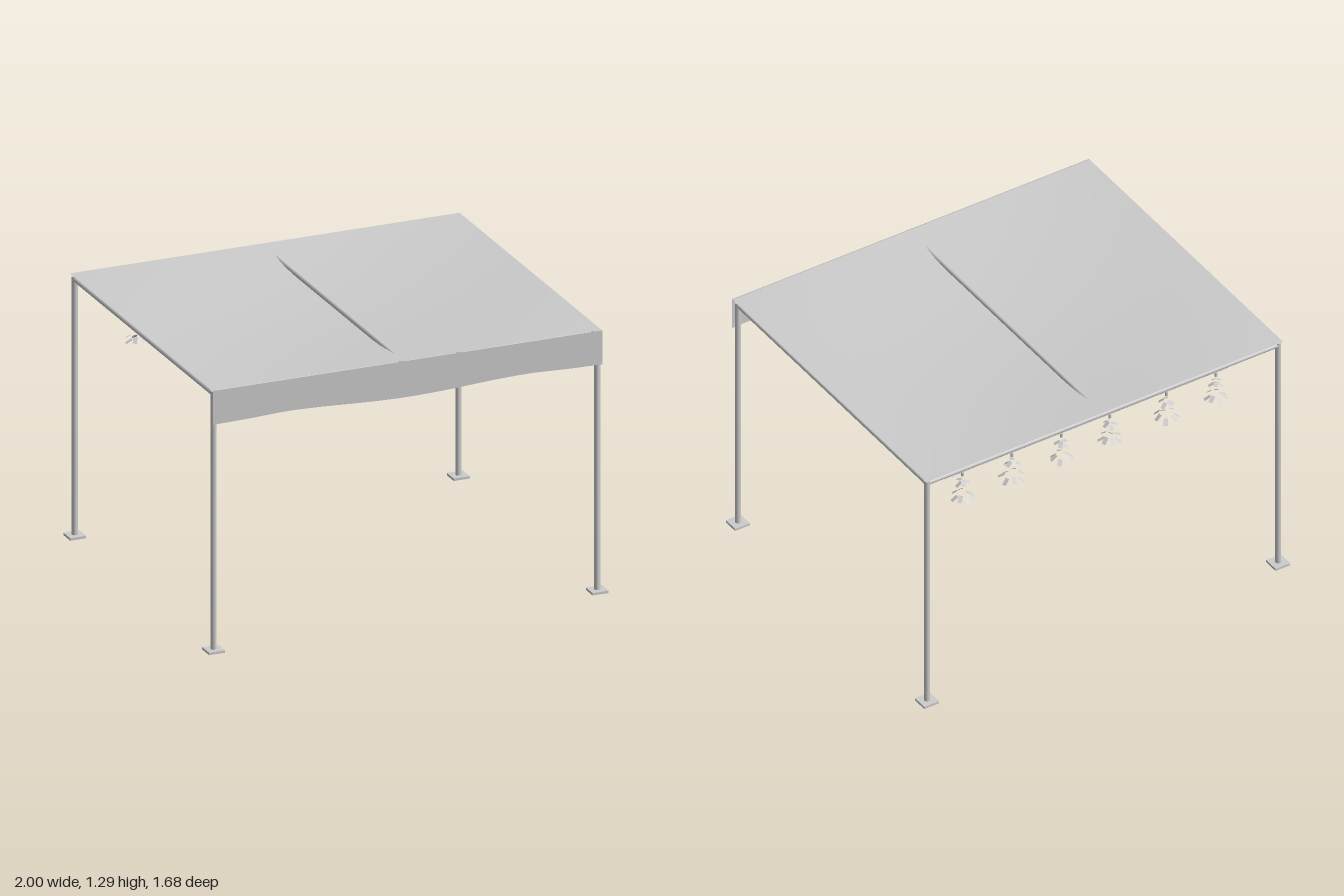
import * as THREE from 'three';

const grey = new THREE.MeshStandardMaterial({ color: 0xcccccc });
const cloth = new THREE.MeshStandardMaterial({ color: 0xcccccc, side: THREE.DoubleSide });

function add(parent, name, geometry, x = 0, y = 0, z = 0, material = grey) {
  const mesh = new THREE.Mesh(geometry, material);
  mesh.name = name;
  mesh.position.set(x, y, z);
  parent.add(mesh);
  return mesh;
}

// Ring of tilted rectangular petals hanging around a lamp
function petalRing(parent, name, count, radius, y, length, width, tilt, turn) {
  for (let i = 0; i < count; i++) {
    const holder = new THREE.Group();
    holder.name = name;
    holder.rotation.y = turn + (i / count) * Math.PI * 2;
    parent.add(holder);
    const drop = (i % 2) * 0.012;
    const petal = add(holder, name, new THREE.PlaneGeometry(width, length), 0, y - drop, radius, cloth);
    petal.rotation.x = -tilt - (i % 3) * 0.12;
  }
}

function lamp(index, x, size) {
  const group = new THREE.Group();
  group.name = 'hangingLamp';
  group.position.set(x, 1.12, -0.66);
  add(group, 'lampSocket', new THREE.CylinderGeometry(0.007, 0.007, 0.022, 8), 0, -0.01, 0);
  petalRing(group, 'upperPetal', 5, 0.022 * size, -0.052, 0.032, 0.02, 0.95, index * 0.8);
  petalRing(group, 'lowerPetal', 7, 0.043 * size, -0.128, 0.036, 0.02, 0.85, index * 1.3 + 0.3);
  return group;
}

export function createModel() {
  const model = new THREE.Group();
  model.name = 'pergola';
  const px = 0.96, pz = 0.8, r = 0.014, beamY = 1.267;

  // Posts on square foot plates
  for (const sx of [-1, 1]) for (const sz of [-1, 1]) {
    add(model, 'post', new THREE.CylinderGeometry(r, r, 1.28, 16), sx * px, 0.64, sz * pz);
    add(model, 'footPlate', new THREE.BoxGeometry(0.08, 0.012, 0.08), sx * px, 0.006, sz * pz);
  }

  // Perimeter tubes and the middle tube
  for (const s of [-1, 1]) {
    add(model, 'crossBeam', new THREE.CylinderGeometry(0.012, 0.012, px * 2, 16), 0, beamY, s * pz).rotation.z = Math.PI / 2;
  }
  for (const x of [-px, 0, px]) {
    add(model, 'sideBeam', new THREE.CylinderGeometry(0.012, 0.012, pz * 2, 16), x, beamY, 0).rotation.x = Math.PI / 2;
  }

  // Canopy, sagging towards its centre so the middle tube shows through
  const canopy = new THREE.PlaneGeometry(1.95, 1.64, 32, 32).rotateX(-Math.PI / 2);
  const pos = canopy.attributes.position;
  for (let i = 0; i < pos.count; i++) {
    const u = pos.getX(i) / 0.975, v = pos.getZ(i) / 0.82;
    pos.setY(i, 1.29 - 0.047 * Math.cos(u * Math.PI / 2) * Math.cos(v * Math.PI / 2));
  }
  canopy.computeVertexNormals();
  add(model, 'canopy', canopy, 0, 0, 0, cloth);

  // Front valance with a gently waved hem
  const valance = new THREE.Shape();
  valance.moveTo(-0.975, 1.29);
  valance.lineTo(-0.975, 1.123);
  valance.splineThru([[-0.8, 1.127], [-0.6, 1.134], [-0.4, 1.128], [-0.2, 1.117], [0, 1.112],
    [0.2, 1.117], [0.4, 1.128], [0.6, 1.134], [0.8, 1.127], [0.975, 1.123]].map(([x, y]) => new THREE.Vector2(x, y)));
  valance.lineTo(0.975, 1.29);
  add(model, 'valance', new THREE.ShapeGeometry(valance, 4), 0, 0, 0.824, cloth);

  // Lamp cable slung between the side beams at the back
  const path = new THREE.CurvePath();
  const points = [[-0.95, 1.26], [-0.775, 1.122], [0.775, 1.122], [0.95, 1.26]]
    .map(([x, y]) => new THREE.Vector3(x, y, -0.66));
  for (let i = 0; i < 3; i++) path.add(new THREE.LineCurve3(points[i], points[i + 1]));
  add(model, 'lampCable', new THREE.TubeGeometry(path, 80, 0.002, 6, false));

  // Row of hanging lamps
  [-0.71, -0.44, -0.13, 0.135, 0.405, 0.675].forEach((x, i) => {
    model.add(lamp(i, x, i % 3 === 1 ? 1.1 : 0.95));
  });
  return model;
}
